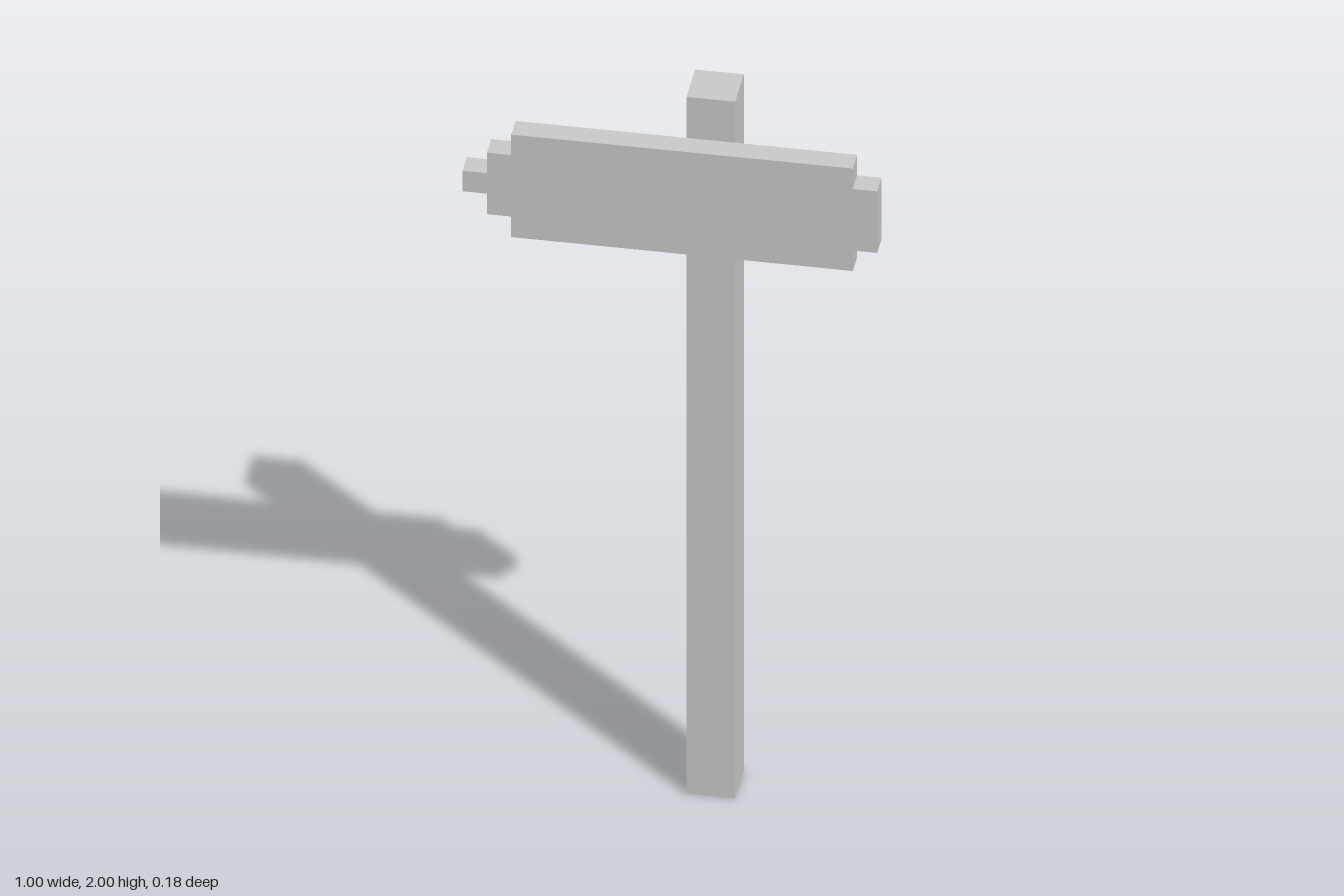
import * as THREE from 'three';

// Everything sits on a cubic grid: the post is 34 cells tall
const U = 2 / 34;

export function createModel() {
  const group = new THREE.Group();
  group.name = 'signpost';
  const material = new THREE.MeshStandardMaterial({ color: 0xcccccc, flatShading: true });

  const add = (name, geometry) => {
    const mesh = new THREE.Mesh(geometry, material);
    mesh.name = name;
    group.add(mesh);
    return mesh;
  };
  // Box given by its min and max corners, in cells
  const box = (name, [x0, y0, z0], [x1, y1, z1]) =>
    add(name, new THREE.BoxGeometry((x1 - x0) * U, (y1 - y0) * U, (z1 - z0) * U))
      .position.set((x0 + x1) / 2 * U, (y0 + y1) / 2 * U, (z0 + z1) / 2 * U);

  // Square post
  box('post', [0.5, 0, -1.5], [2.5, 34, 0.5]);

  // Pegs on both sides of the post, behind the board
  box('rightPeg', [-0.5, 29, -0.5], [0.5, 30, 0.5]);
  box('leftPeg', [2.5, 29, -0.5], [3.5, 30, 0.5]);

  // Sign board: stepped arrow tip on the right, notched corners on the left.
  // Upper outline as x, height above the mid line; mirrored for the lower half
  const upper = [
    [-8.5, 0.5], [-7.5, 0.5], [-7.5, 1.5], [-6.5, 1.5], [-6.5, 2.5],
    [7.5, 2.5], [7.5, 1.5], [8.5, 1.5],
  ];
  const lower = upper.map(([x, y]) => [x, -y]).reverse();
  const outline = [...upper, ...lower].map(([x, y]) => new THREE.Vector2(x * U, y * U));
  const board = add('signBoard', new THREE.ExtrudeGeometry(new THREE.Shape(outline), {
    depth: U, bevelEnabled: false,
  }));
  board.position.set(0, 29.5 * U, 0.5 * U);

  return group;
}
